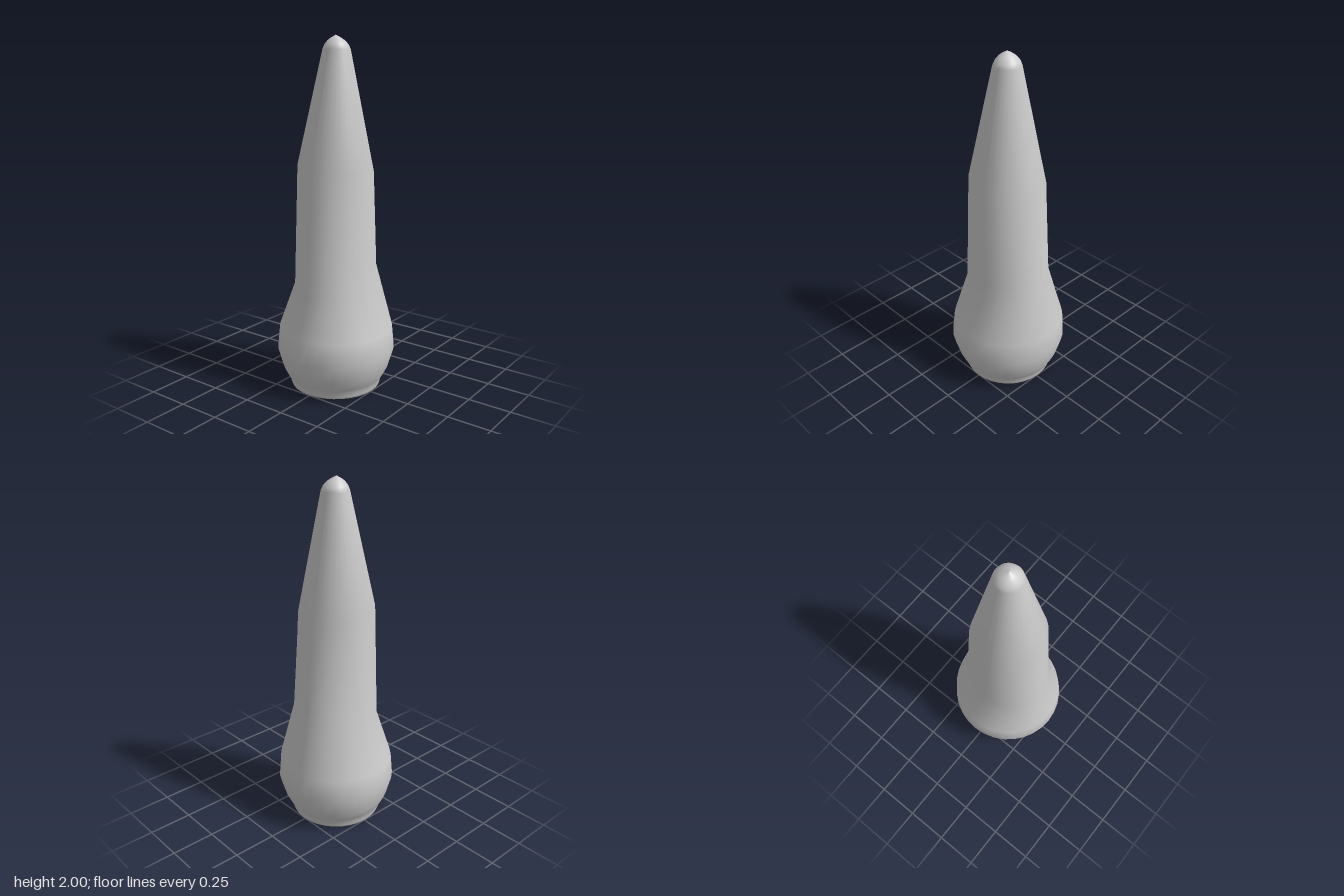
import * as THREE from 'three';

const SIDES = 32;

// Rings from bottom to top: [y, x radius, z radius, x centre, z centre, tilt of the ring along x]
const RINGS = [
  [0.0, 0.245, 0.245, 0, 0, 0],
  [0.006, 0.257, 0.257, 0, 0, 0],
  [0.02, 0.263, 0.263, 0, 0, 0],
  [0.045, 0.266, 0.266, 0, 0, 0],
  [0.065, 0.28, 0.28, 0, 0, 0],
  [0.12, 0.308, 0.308, 0, 0, 0],
  [0.23, 0.341, 0.339, 0, 0.002, 0],
  [0.36, 0.332, 0.325, 0.002, 0, 0.02],
  [0.665, 0.258, 0.219, -0.002, 0.004, 0.25],
  [1.28, 0.21, 0.215, -0.004, 0.002, -0.14],
  [1.925, 0.076, 0.077, 0, 0.006, 0],
  [1.95, 0.066, 0.066, 0, 0.005, 0],
  [1.972, 0.047, 0.047, -0.002, 0.004, 0],
  [1.987, 0.026, 0.026, -0.004, 0.004, 0],
  [2.0, 0.0005, 0.0005, -0.005, 0.004, 0],
];

// Skin lofted through tilted elliptical rings
function loft(rings) {
  const positions = [], index = [];
  rings.forEach(([y, rx, rz, cx, cz, tilt], r) => {
    for (let i = 0; i < SIDES; i++) {
      const a = (i / SIDES) * Math.PI * 2;
      const dx = rx * Math.sin(a);
      positions.push(cx + dx, y + tilt * dx, cz + rz * Math.cos(a));
      if (r === rings.length - 1) continue;
      const p = r * SIDES + i, q = r * SIDES + ((i + 1) % SIDES);
      index.push(p, q, q + SIDES, p, q + SIDES, p + SIDES);
    }
  });
  const geometry = new THREE.BufferGeometry();
  geometry.setAttribute('position', new THREE.Float32BufferAttribute(positions, 3));
  geometry.setIndex(index);
  geometry.computeVertexNormals();
  return geometry;
}

export function createModel() {
  const model = new THREE.Group();
  model.name = 'taperedSpike';
  const material = new THREE.MeshStandardMaterial({ color: 0xcccccc });

  // Bulbous collar, shaft and rounded tip in one smooth skin
  const body = new THREE.Mesh(loft(RINGS), material);
  body.name = 'body';

  // Flat underside
  const base = new THREE.Mesh(new THREE.CircleGeometry(RINGS[0][1], SIDES), material);
  base.rotation.x = Math.PI / 2;
  base.name = 'base';

  model.add(body, base);
  return model;
}
